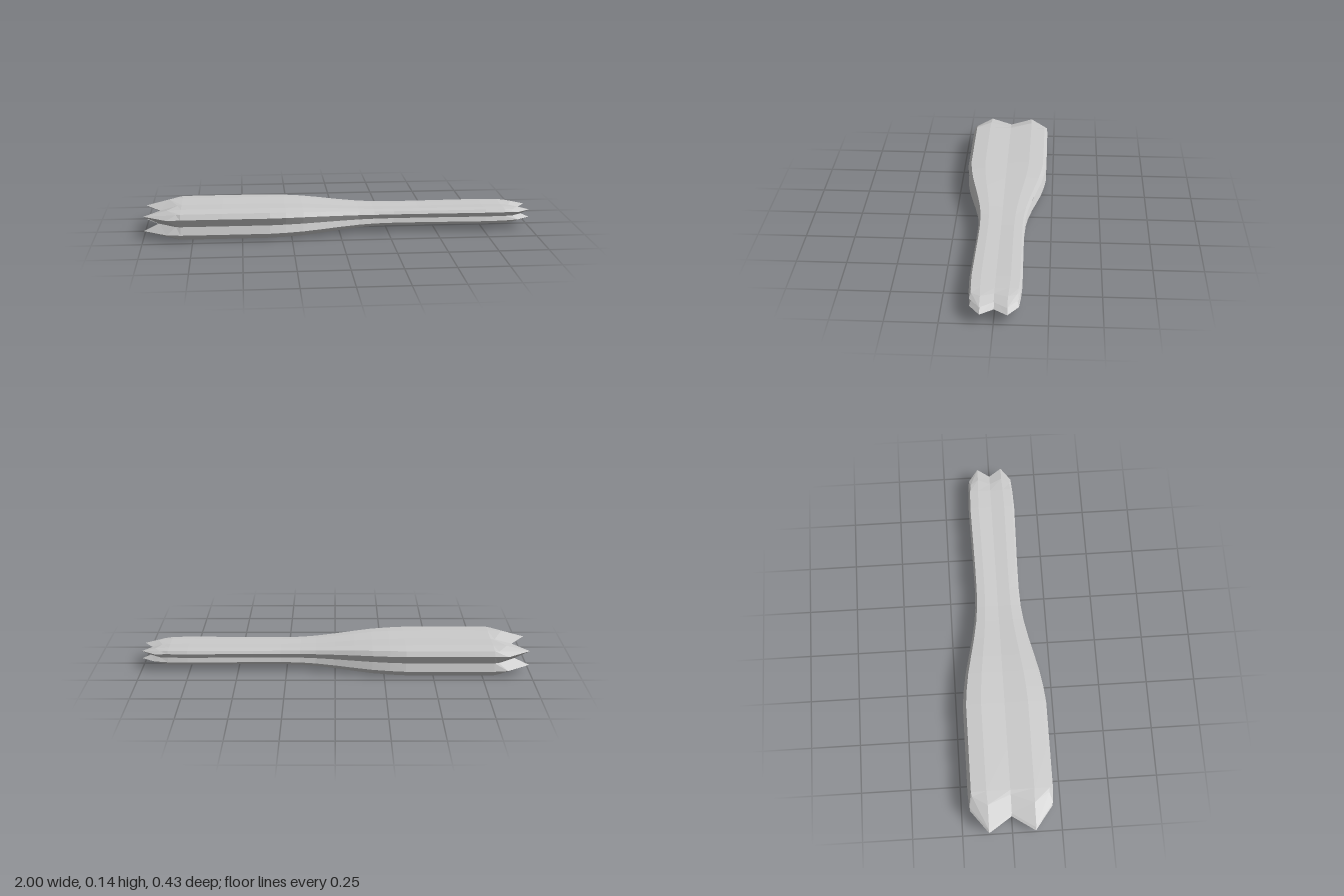
import * as THREE from 'three';

const CENTRE_Y = 0.0725;

// Stations along the bone between its two ends: [x, half width, half height]
const STATIONS = [
  [-0.81, 0.213, 0.0705], [-0.6, 0.213, 0.071], [-0.36, 0.213, 0.0705], [-0.28, 0.205, 0.069],
  [-0.19, 0.191, 0.066], [-0.1, 0.171, 0.06], [0, 0.148, 0.052], [0.1, 0.129, 0.045],
  [0.18, 0.12, 0.041], [0.28, 0.116, 0.0395], [0.42, 0.117, 0.0395], [0.6, 0.121, 0.04],
  [0.76, 0.124, 0.0405], [0.86, 0.12, 0.0395],
];
// Ends: outward direction, half width, half height and depth of the notches
const BIG_END = { dir: -1, w: 0.208, h: 0.067, depth: 0.12 };
const SMALL_END = { dir: 1, w: 0.114, h: 0.035, depth: 0.07 };

// The section is the border of a 5 x 5 grid (u, v from -2 to 2), with ridges beside each corner
function spread(a, b) {
  const size = [0, 0.56, Math.abs(b) === 1 ? 1 : 0.92][Math.abs(a)];
  return Math.sign(a) * size;
}

function sectionPoint(u, v, x, w, h) {
  return [x, CENTRE_Y + h * spread(v, u), w * spread(u, v)];
}

// Each end rises to four tips with a cross-shaped notch between them
function endPoint(u, v, end) {
  const p = Math.abs(u), q = Math.abs(v);
  const inset = Math.max(p, q) === 2
    ? (Math.min(p, q) === 1 ? 1 : 1.4)
    : [1.35, 0.65, 0][p + q];
  return sectionPoint(u, v, end.dir * (1 - inset * end.depth), end.w, end.h);
}

// Border of the grid, running from the top towards +z
const BORDER = [];
for (let k = -2; k < 2; k++) BORDER.push([k, 2]);
for (let k = 2; k > -2; k--) BORDER.push([2, k]);
for (let k = 2; k > -2; k--) BORDER.push([k, -2]);
for (let k = -2; k < 2; k++) BORDER.push([-2, k]);

function boneGeometry() {
  const positions = [], indices = [];
  const n = BORDER.length;

  // Walls
  const rings = [
    BORDER.map(([u, v]) => endPoint(u, v, BIG_END)),
    ...STATIONS.map(([x, w, h]) => BORDER.map(([u, v]) => sectionPoint(u, v, x, w, h))),
    BORDER.map(([u, v]) => endPoint(u, v, SMALL_END)),
  ];
  rings.forEach((ring, i) => {
    positions.push(...ring.flat());
    if (i === rings.length - 1) return;
    for (let j = 0; j < n; j++) {
      const a = i * n + j, b = i * n + (j + 1) % n;
      indices.push(a, b, b + n, a, b + n, a + n);
    }
  });

  // Notched ends
  for (const end of [BIG_END, SMALL_END]) {
    const base = positions.length / 3;
    const at = (u, v) => base + (u + 2) * 5 + v + 2;
    for (let u = -2; u <= 2; u++) {
      for (let v = -2; v <= 2; v++) positions.push(...endPoint(u, v, end));
    }
    for (let u = -2; u < 2; u++) {
      for (let v = -2; v < 2; v++) {
        const a = at(u, v), b = at(u, v + 1), c = at(u + 1, v + 1), d = at(u + 1, v);
        // Split each cell along the diagonal that points at the middle
        const tris = (u + 0.5) * (v + 0.5) > 0 ? [[a, b, c], [a, c, d]] : [[a, b, d], [b, c, d]];
        for (const [p, q, r] of tris) indices.push(p, ...(end.dir > 0 ? [q, r] : [r, q]));
      }
    }
  }

  const geometry = new THREE.BufferGeometry();
  geometry.setAttribute('position', new THREE.Float32BufferAttribute(positions, 3));
  geometry.setIndex(indices);
  geometry.computeVertexNormals();
  return geometry;
}

export function createModel() {
  const group = new THREE.Group();
  group.name = 'bone';
  const shaft = new THREE.Mesh(
    boneGeometry(),
    new THREE.MeshStandardMaterial({ color: 0xcccccc, flatShading: true }),
  );
  shaft.name = 'boneShaft';
  group.add(shaft);
  return group;
}
